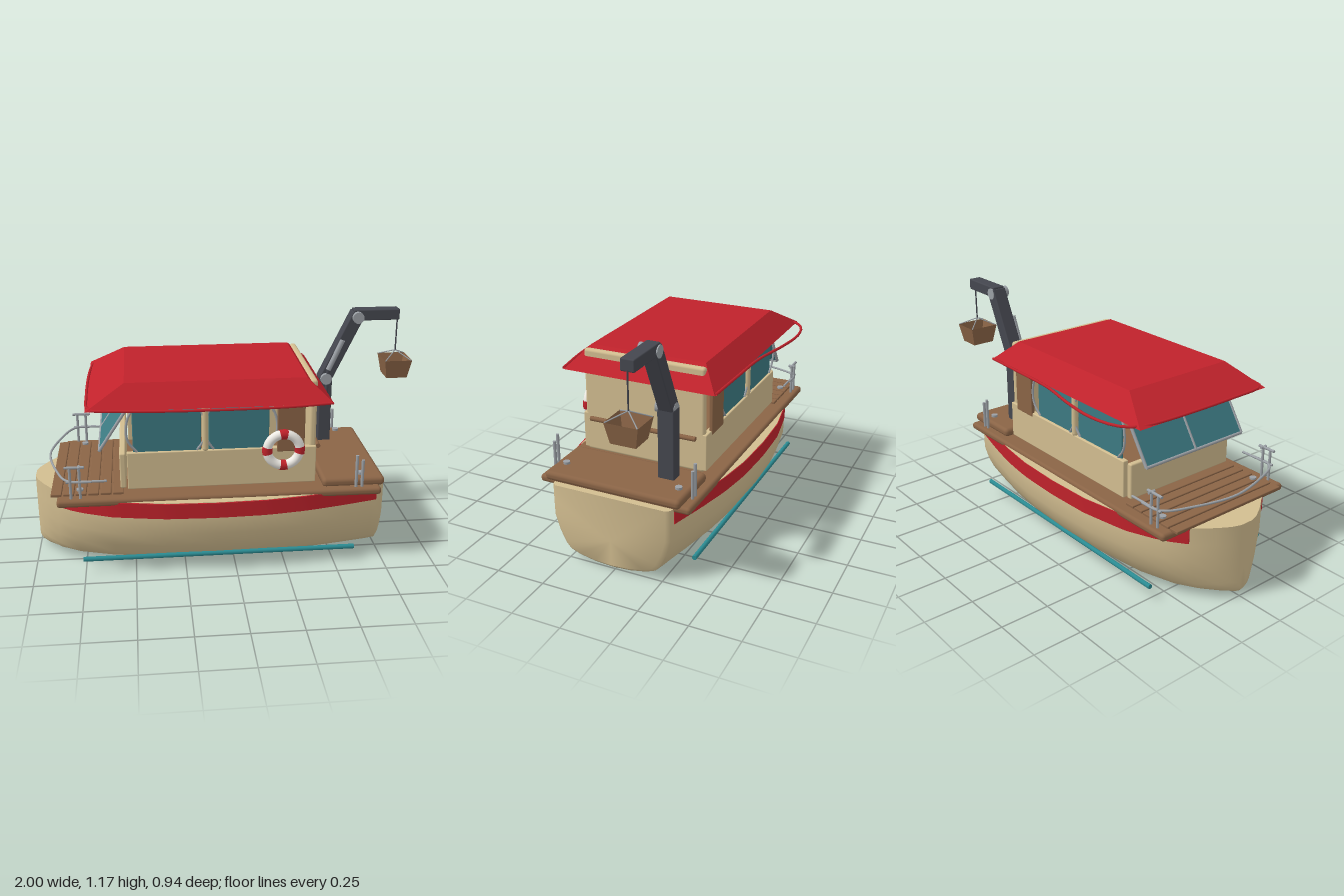
import * as THREE from 'three';
import { toCreasedNormals } from 'three/addons/utils/BufferGeometryUtils.js';
import { RoundedBoxGeometry } from 'three/addons/geometries/RoundedBoxGeometry.js';

const CZ = 0.018; // centreline of the boat
const V = (x, y, z) => new THREE.Vector3(x, y, z);
const mat = (color) => new THREE.MeshStandardMaterial({ color, side: THREE.DoubleSide });

export function createModel() {
  const model = new THREE.Group();
  const cream = mat(0xd2bd90), red = mat(0xc0222b), brown = mat(0x8a6446), glass = mat(0x3c7a82);
  const teal = mat(0x2b8b92), dark = mat(0x45474f), grey = mat(0x9ba0a5), white = mat(0xefece6);

  function add(name, geo, material, parent = model) {
    const m = new THREE.Mesh(geo, material);
    m.name = name;
    parent.add(m);
    return m;
  }
  // Rounded box given by its min and max corners
  function box(name, material, x0, x1, y0, y1, z0, z1, r = 0.006) {
    const g = new RoundedBoxGeometry(x1 - x0, y1 - y0, z1 - z0, 2, r);
    g.translate((x0 + x1) / 2, (y0 + y1) / 2, (z0 + z1) / 2);
    return add(name, g, material);
  }
  // Straight round bar between two points
  function rod(name, material, a, b, r, sides = 12) {
    const m = add(name, new THREE.CylinderGeometry(r, r, a.distanceTo(b), sides), material);
    m.position.copy(a).lerp(b, 0.5);
    m.quaternion.setFromUnitVectors(V(0, 1, 0), b.clone().sub(a).normalize());
    return m;
  }
  function tube(name, material, pts, r, tension = 0.5) {
    const c = new THREE.CatmullRomCurve3(pts, false, 'catmullrom', tension);
    return add(name, new THREE.TubeGeometry(c, 60, r, 8), material);
  }
  // Skin over equal-length rings of points, with capped ends
  function loft(rings, crease) {
    const n = rings[0].length, pos = [], idx = [];
    rings.forEach((ring) => ring.forEach((p) => pos.push(p.x, p.y, p.z)));
    for (let s = 0; s < rings.length - 1; s++)
      for (let i = 0; i < n; i++) {
        const a = s * n + i, b = s * n + (i + 1) % n;
        idx.push(a, b, b + n, a, b + n, a + n);
      }
    [0, rings.length - 1].forEach((s) => {
      const c = rings[s].reduce((t, p) => t.add(p), V(0, 0, 0)).divideScalar(n);
      const k = pos.length / 3;
      pos.push(c.x, c.y, c.z);
      for (let i = 0; i < n; i++) {
        const a = s * n + i, b = s * n + (i + 1) % n;
        if (s) idx.push(k, a, b); else idx.push(k, b, a);
      }
    });
    const g = new THREE.BufferGeometry();
    g.setAttribute('position', new THREE.Float32BufferAttribute(pos, 3));
    g.setIndex(idx);
    return toCreasedNormals(g, crease);
  }
  const sides = [1, -1];

  // Hull: stations of [x, half width, bottom height]
  const stations = [[-1, 0.035, 0.035], [-0.985, 0.08, 0.015], [-0.95, 0.14, 0.006], [-0.88, 0.235, 0.003], [-0.78, 0.31, 0],
    [-0.6, 0.385, 0], [-0.35, 0.43, 0], [-0.1, 0.44, 0], [0.15, 0.432, 0], [0.35, 0.405, 0], [0.55, 0.36, 0],
    [0.7, 0.32, 0], [0.745, 0.31, 0.004], [0.76, 0.29, 0.02]];
  const profile = [[1, 0.39], [1, 0.3], [0.995, 0.22], [0.92, 0.14], [0.82, 0.075], [0.74, 0.045], [0.58, 0.025], [0.3, 0.008], [0, 0.002]];
  const section = profile.concat(profile.slice(0, -1).reverse().map(([w, y]) => [-w, y]));
  add('hull', loft(stations.map(([x, hw, yb]) =>
    section.map(([w, y]) => V(x, yb + y * (0.39 - yb) / 0.39, CZ + w * hw))), 0.75), cream);

  // Red rubbing bands following the hull side
  const halfWidth = (x) => {
    const i = Math.max(1, stations.findIndex((s) => s[0] >= x));
    const [a, b] = [stations[i - 1], stations[i]];
    return a[1] + (b[1] - a[1]) * (x - a[0]) / (b[0] - a[0]);
  };
  sides.forEach((s) => {
    const rings = [];
    for (let i = 0; i <= 24; i++) {
      const x = -0.875 + 1.595 * i / 24, w = halfWidth(x) + (s > 0 ? 0.008 : 0.004);
      const [za, zb] = [CZ + s * w, CZ + s * (w - 0.05)];
      const hi = Math.max(za, zb), lo = Math.min(za, zb);
      rings.push([V(x, 0.388, hi), V(x, 0.31, hi), V(x, 0.31, lo), V(x, 0.388, lo)]);
    }
    add('rubbingBand', loft(rings, 0.6), red);
    rod('bilgeRail', teal, V(-0.76, 0.073, CZ + s * 0.366), V(0.605, 0.073, CZ + s * 0.366), 0.012);
  });

  // Deck, raised aft platform and foredeck planks
  box('deck', brown, -0.87, 0.725, 0.37, 0.408, CZ - 0.397, CZ + 0.397, 0.016);
  box('aftPlatform', brown, 0.435, 0.75, 0.4, 0.447, CZ - 0.355, CZ + 0.355, 0.02);
  for (let i = 0; i < 6; i++)
    box('foredeckPlank', brown, -0.9 + i * 0.06, -0.848 + i * 0.06, 0.404, 0.42, CZ - 0.34, CZ + 0.34, 0.004);

  // Cabin walls, side windows, doors and posts
  box('aftWall', cream, 0.365, 0.4, 0.42, 0.957, CZ - 0.322, CZ + 0.322, 0.014);
  box('frontWall', cream, -0.562, -0.532, 0.43, 0.612, CZ - 0.32, CZ + 0.32, 0.008);
  rod('aftHandrail', brown, V(0.418, 0.6, CZ - 0.285), V(0.418, 0.6, CZ + 0.285), 0.012);
  sides.forEach((s) => {
    const slab = (name, m, x0, x1, y0, y1, inner, outer) => {
      const [a, b] = [CZ + s * inner, CZ + s * outer];
      box(name, m, x0, x1, y0, y1, Math.min(a, b), Math.max(a, b), 0.005);
    };
    slab('sideWall', cream, -0.525, 0.4, 0.43, 0.62, 0.305, 0.335);
    slab('sideWindow', glass, -0.495, -0.165, 0.615, 0.832, 0.31, 0.322);
    slab('sideWindow', glass, -0.128, 0.167, 0.615, 0.832, 0.31, 0.322);
    slab('sideDoor', brown, 0.205, 0.34, 0.6, 0.832, 0.32, 0.34);
    const post = add('windowPost', new THREE.CapsuleGeometry(0.016, 0.22, 6, 14), cream);
    post.position.set(-0.145, 0.74, CZ + s * 0.325);
    // Bowed grey window frames
    [[-0.475, -0.05], [-0.185, 0.04], [-0.105, -0.04], [0.15, 0.055]].forEach(([x, bow]) =>
      tube('windowFrame', grey, [V(x, 0.86, CZ + s * 0.325), V(x + bow * 0.75, 0.8, CZ + s * 0.328),
        V(x + bow, 0.73, CZ + s * 0.33), V(x + bow * 0.75, 0.67, CZ + s * 0.328), V(x, 0.622, CZ + s * 0.325)], 0.006));
  });

  // Tilted two-pane windscreen
  const top = V(-0.52, 0.835, 0), low = V(-0.655, 0.63, 0);
  const at = (p, z) => V(p.x, p.y, CZ + z);
  sides.forEach((s) => {
    const pane = add('windscreenPane', new THREE.BoxGeometry(0.008, top.distanceTo(low), 0.295), glass);
    pane.position.copy(at(top.clone().lerp(low, 0.5), s * 0.155));
    pane.rotation.z = -Math.atan2(top.x - low.x, top.y - low.y);
  });
  [-0.31, 0, 0.31].forEach((z) => rod('windscreenFrame', grey, at(top, z), at(low, z), 0.008));
  [top, low].forEach((p) => rod('windscreenFrame', grey, at(p, -0.31), at(p, 0.31), 0.008));

  // Hipped canopy roof, open below, with a loose hem
  const canopy = new THREE.BoxGeometry(1, 1, 1);
  const cp = canopy.attributes.position;
  for (let i = 0; i < cp.count; i++) {
    const up = cp.getY(i) > 0, right = cp.getX(i) > 0, front = cp.getZ(i) > 0;
    cp.setXYZ(i, right ? (up ? 0.35 : 0.465) : (up ? -0.525 : -0.71), up ? 0.966 : 0.86,
      CZ + (front ? 1 : -1) * (up ? 0.305 : 0.4));
  }
  canopy.setIndex(Array.from(canopy.index.array).filter((v, i) => i < 18 || i >= 24)); // no floor
  canopy.clearGroups();
  add('canopy', toCreasedNormals(canopy, 0.3), red);
  tube('canopyHem', red, [[0.455, -0.383], [0.2, -0.39], [-0.05, -0.4], [-0.28, -0.445], [-0.47, -0.463], [-0.62, -0.43], [-0.69, -0.34],
    [-0.71, -0.15], [-0.71, 0.2], [-0.69, 0.4], [-0.55, 0.432], [-0.25, 0.455], [0.2, 0.452], [0.46, 0.42]].map(([x, z]) => V(x, 0.865, z)), 0.007);

  // Life ring with four red bands
  const ring = new THREE.Group();
  ring.name = 'lifeRing';
  ring.position.set(0.232, 0.62, 0.382);
  model.add(ring);
  add('ringBody', new THREE.TorusGeometry(0.08, 0.023, 14, 48), white, ring);
  for (let i = 0; i < 4; i++)
    add('ringBand', new THREE.TorusGeometry(0.08, 0.025, 14, 8, 0.42), red, ring).rotation.z = i * Math.PI / 2 - 0.21;

  // Crane: column, leaning arm, jib, joints and rams
  const kz = -0.187;
  box('craneColumn', dark, 0.508, 0.576, 0.44, 0.8, kz - 0.042, kz + 0.042);
  const lean = Math.atan2(0.16, 0.335);
  const arm = add('craneArm', new RoundedBoxGeometry(0.068, 0.4, 0.076, 2, 0.006), dark);
  arm.position.set(0.62, 0.965, kz);
  arm.rotation.z = -lean;
  box('craneJib', dark, 0.68, 0.925, 1.11, 1.168, kz - 0.034, kz + 0.034);
  [[0.541, 0.8], [0.7, 1.13]].forEach(([x, y]) =>
    rod('craneJoint', grey, V(x, y, kz - 0.04), V(x, y, kz + 0.058), 0.03, 24));
  rod('craneRam', grey, V(0.552, 0.85, kz + 0.045), V(0.622, 1.01, kz + 0.045), 0.014);
  rod('craneRamRod', dark, V(0.541, 0.66, kz + 0.045), V(0.552, 0.86, kz + 0.045), 0.01);

  // Hanging basket, open at the top
  const bx = 0.922;
  rod('craneRope', dark, V(bx, 0.935, kz), V(bx, 1.12, kz), 0.004, 8);
  const basket = new THREE.CylinderGeometry(Math.SQRT1_2, Math.SQRT1_2 * 0.76, 0.1, 4, 1, true);
  basket.rotateY(Math.PI / 4);
  const bm = add('basket', toCreasedNormals(basket, 0.3), brown);
  bm.scale.set(0.146, 1, 0.162);
  bm.position.set(bx, 0.848, kz);
  const floor = add('basketFloor', new THREE.BoxGeometry(0.11, 0.006, 0.122), brown);
  floor.position.set(bx, 0.801, kz);
  sides.forEach((i) => sides.forEach((j) =>
    rod('basketSling', grey, V(bx, 0.937, kz), V(bx + i * 0.07, 0.897, kz + j * 0.078), 0.003, 6)));

  // Bow rails, aft posts and mooring bitts
  sides.forEach((s) => {
    const z = CZ + s * 0.367;
    [-0.8, -0.755].forEach((x) => rod('bowRailPost', grey, V(x, 0.4, z), V(x, 0.57, z), 0.007));
    rod('bowRailTop', grey, V(-0.825, 0.57, z), V(-0.73, 0.57, z), 0.007);
    rod('bowRailMiddle', grey, V(-0.82, 0.495, z), V(-0.625, 0.495, z), 0.006);
    rod('bowRailCross', grey, V(-0.755, 0.57, z - 0.018), V(-0.755, 0.57, z + 0.018), 0.007);
    [[0.6, 0.575], [0.63, 0.55]].forEach(([x, y]) => rod('aftPost', grey, V(x, 0.4, z), V(x, y, z), 0.008));
    [[0.635, 0.445], [-0.76, 0.415]].forEach(([x, y]) =>
      rod('mooringBitt', grey, V(x, y, CZ + s * 0.3), V(x, y + 0.014, CZ + s * 0.3), 0.017, 16));
  });
  tube('bowRailCurve', grey, [[-0.7, -0.355], [-0.8, -0.345], [-0.86, -0.25], [-0.92, CZ], [-0.86, 0.286], [-0.8, 0.38], [-0.7, 0.39]]
    .map(([x, z]) => V(x, 0.495, z)), 0.006);

  return model;
}
